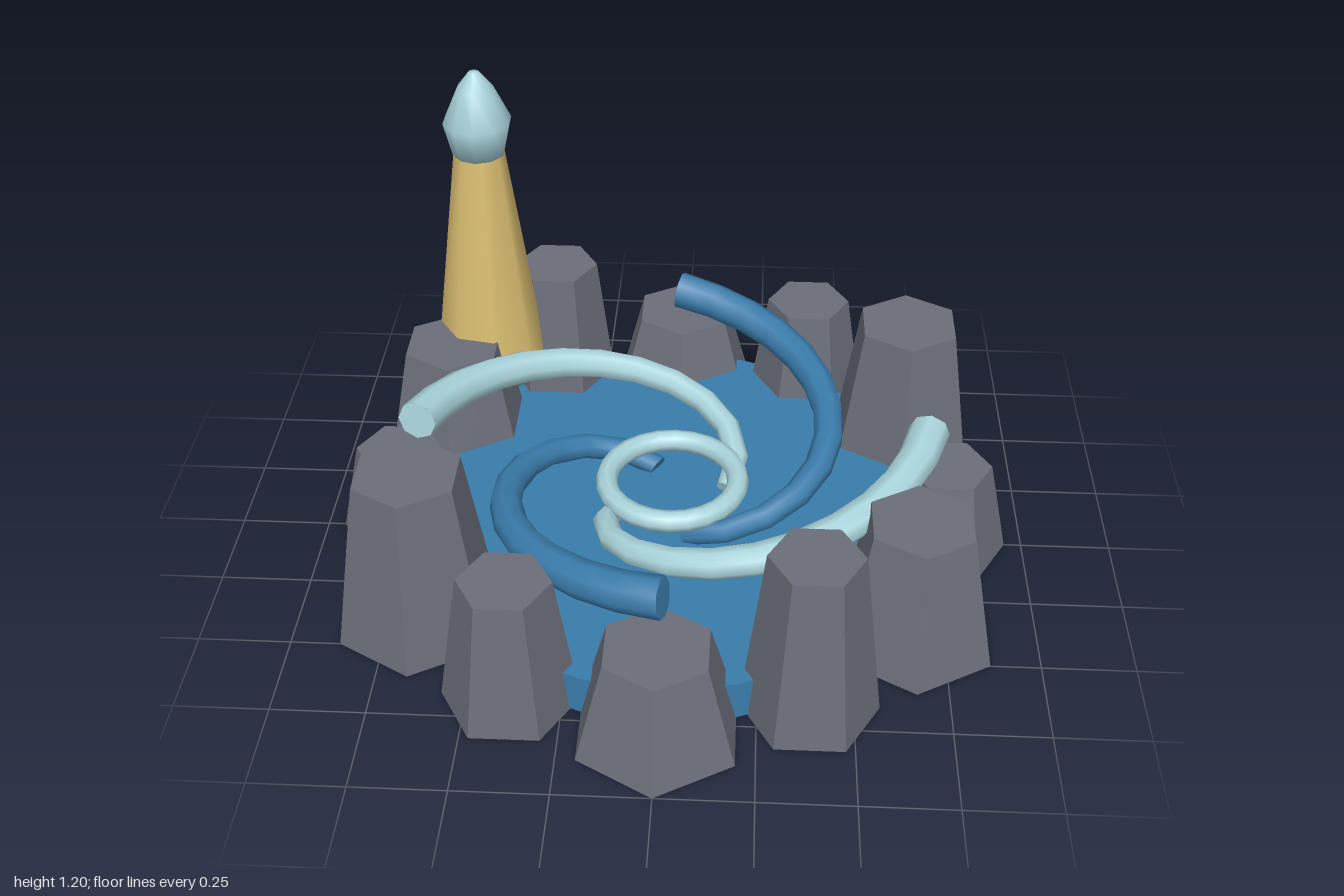
import * as THREE from 'three';

const mat = (name, color, extra = {}) => {
  const m = new THREE.MeshStandardMaterial({ color, ...extra });
  m.name = name;
  return m;
};

// Spiral stream: radius, height and thickness grow from the centre outwards
class Spiral extends THREE.Curve {
  getPoint(t, target = new THREE.Vector3()) {
    const a = THREE.MathUtils.degToRad(342 - 163 * t);
    const r = 0.16 + 0.55 * t;
    return target.set(r * Math.cos(a), 0.13 + 0.26 * t, r * Math.sin(a));
  }
}

function taperedTube(curve, segments, sides, r0, r1) {
  const geo = new THREE.TubeGeometry(curve, segments, 1, sides, false);
  const p = geo.attributes.position, n = geo.attributes.normal;
  for (let i = 0; i < p.count; i++) {
    const t = Math.floor(i / (sides + 1)) / segments;
    const k = THREE.MathUtils.lerp(r0, r1, t) - 1;
    p.setXYZ(i, p.getX(i) + n.getX(i) * k, p.getY(i) + n.getY(i) * k, p.getZ(i) + n.getZ(i) * k);
  }
  return geo;
}

export function createModel() {
  const rock = mat('rock grey', 0x6b6e79, { flatShading: true });
  const water = mat('water blue', 0x3a7cab);
  const foam = mat('pale foam', 0xa9d4db);
  const sand = mat('sand', 0xd8bc70);

  const model = new THREE.Group();
  model.name = 'whirlpoolFountain';
  const add = (name, geo, material, parent = model) => {
    const m = new THREE.Mesh(geo, material);
    m.name = name;
    parent.add(m);
    return m;
  };

  // Water basin
  add('pool', new THREE.CylinderGeometry(0.75, 0.75, 0.116, 24), water).position.y = 0.062;

  // Ring of twelve hexagonal rocks in three heights and two widths
  const rocks = new THREE.Group();
  rocks.name = 'rocks';
  model.add(rocks);
  const heights = [0.28, 0.39, 0.5];
  for (let i = 0; i < 12; i++) {
    const a = i * Math.PI / 6, h = heights[i % 3], big = i % 2 === 1;
    const geo = big
      ? new THREE.CylinderGeometry(0.15, 0.23, h, 6)
      : new THREE.CylinderGeometry(0.122, 0.182, h, 6);
    const m = add('rock', geo, rock, rocks);
    m.position.set(0.77 * Math.cos(a), h / 2, 0.77 * Math.sin(a));
    m.rotation.y = big ? 0 : Math.PI / 6;
  }

  // Four spiral streams in alternating colours, with capped ends
  const curve = new Spiral();
  const tube = taperedTube(curve, 12, 8, 0.032, 0.056);
  for (let i = 0; i < 4; i++) {
    const stream = new THREE.Group();
    stream.name = 'stream';
    stream.rotation.y = -i * Math.PI / 2;
    model.add(stream);
    const material = i % 2 ? water : foam;
    add('streamTube', tube, material, stream);
    [[0, 0.032, -1], [1, 0.056, 1]].forEach(([t, r, dir]) => {
      const cap = add('streamEnd', new THREE.CircleGeometry(r, 8), material, stream);
      const p = curve.getPoint(t);
      cap.position.copy(p);
      cap.lookAt(p.clone().addScaledVector(curve.getTangent(t), dir));
      // lookAt uses world space, so restore the local orientation
      cap.quaternion.setFromUnitVectors(
        new THREE.Vector3(0, 0, 1), curve.getTangent(t).multiplyScalar(dir));
    });
  }

  // Central ring
  const ring = add('centreRing', new THREE.TorusGeometry(0.186, 0.031, 8, 24), foam);
  ring.rotation.x = Math.PI / 2;
  ring.position.y = 0.2;

  // Tower with a bud-shaped top
  const tower = new THREE.Group();
  tower.name = 'tower';
  tower.position.set(-0.577, 0, -0.525);
  model.add(tower);
  const shaft = add('towerShaft', new THREE.CylinderGeometry(0.073, 0.165, 0.7, 8), sand, tower);
  shaft.position.y = 0.6;
  shaft.rotation.y = 0.2;
  const bud = [[0, 0.95], [0.075, 0.95], [0.098, 1.05], [0.052, 1.15], [0.015, 1.198], [0, 1.2]]
    .map(([x, y]) => new THREE.Vector2(x, y));
  add('towerTop', new THREE.LatheGeometry(bud, 10), foam, tower);

  return model;
}
